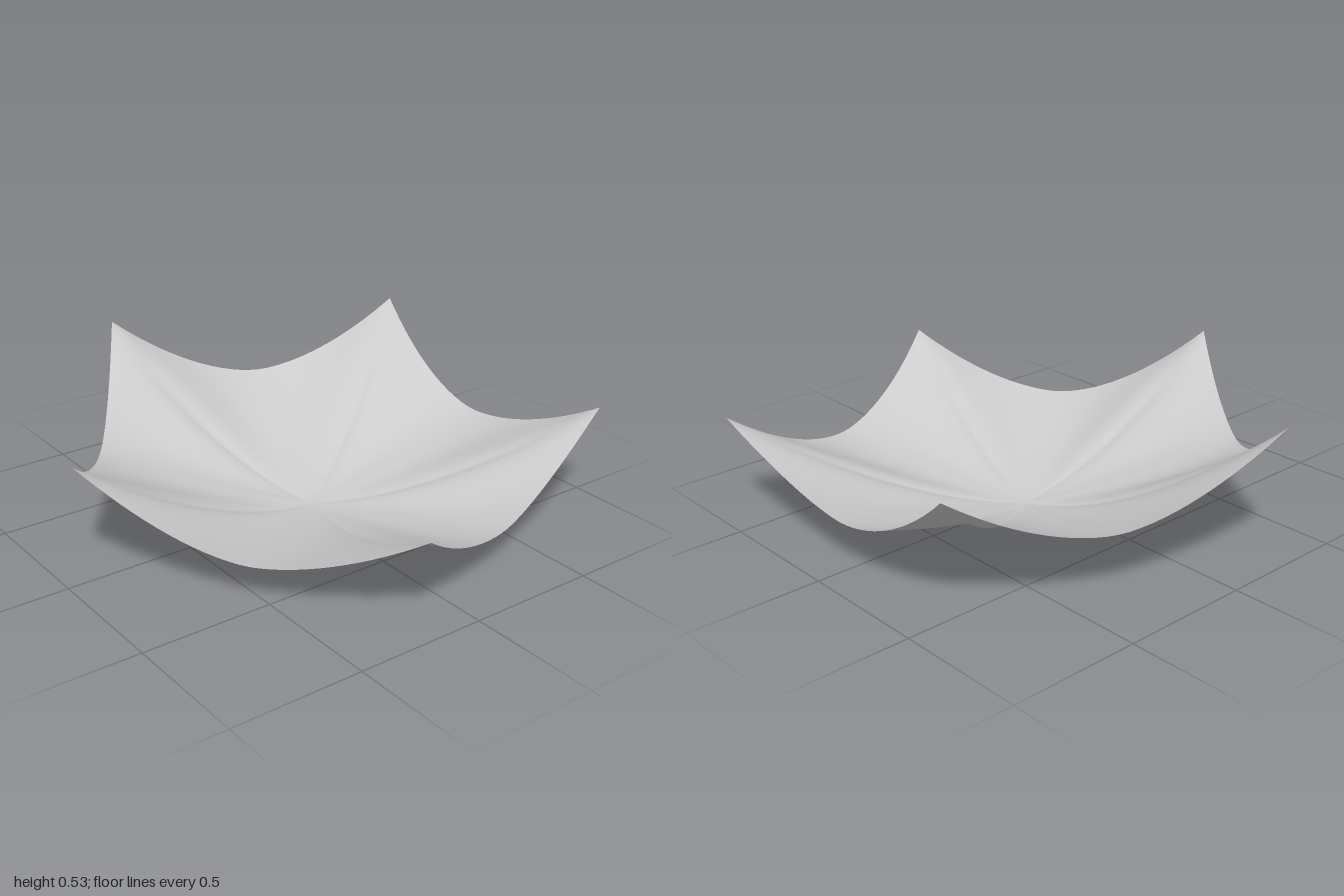
import * as THREE from 'three';

// Raised corners of the sail, and for each edge to the next corner its lowest height and inward bow
const CORNERS = [
  { p: new THREE.Vector3(-0.95, 0.45, 0), low: 0.15, bow: 0.045 },
  { p: new THREE.Vector3(-0.23, 0.37, 1), low: 0.13, bow: 0.05 },
  { p: new THREE.Vector3(0.95, 0.4, 0.62), low: 0.19, bow: 0.05 },
  { p: new THREE.Vector3(0.95, 0.5, -0.62), low: 0.25, bow: 0.025 },
  { p: new THREE.Vector3(-0.23, 0.53, -1), low: 0.225, bow: 0.008 },
];
const CENTRE = new THREE.Vector3(0.07, 0, -0.02);
const STEPS = 30; // per edge
const RINGS = 32;

// Point of the sail: edge number, t along the edge, s from the centre (0) to the rim (1)
function sailPoint(edge, t, s) {
  const { p: a, low, bow } = CORNERS[edge];
  const b = CORNERS[(edge + 1) % CORNERS.length].p;
  const inward = new THREE.Vector3(a.z - b.z, 0, b.x - a.x).normalize();
  if (inward.dot(a) > 0) inward.negate();
  const rim = a.clone().lerp(b, t).addScaledVector(inward, 4 * bow * t * (1 - t));

  // Sharp sag along the rim, softened toward the middle of the cloth
  const wave = (1 + Math.cos(2 * Math.PI * t)) / 2;
  const sag = THREE.MathUtils.lerp(wave ** 1.5, Math.abs(2 * t - 1) ** 1.75, s ** 3);
  const tip = t < 0.5 ? a.y : b.y;
  const height = low + (tip - low) * sag;

  const point = CENTRE.clone().lerp(rim, s);
  point.y = height * s ** (1.3 + 0.4 * wave);
  return point;
}

function sailGeometry() {
  const around = CORNERS.length * STEPS;
  const positions = [CENTRE.x, CENTRE.y, CENTRE.z];
  const index = [];
  for (let r = 1; r <= RINGS; r++) {
    for (let i = 0; i < around; i++) {
      const p = sailPoint(Math.floor(i / STEPS), (i % STEPS) / STEPS, r / RINGS);
      positions.push(p.x, p.y, p.z);
      const next = (i + 1) % around;
      const c = 1 + (r - 1) * around + i;
      const d = 1 + (r - 1) * around + next;
      if (r === 1) {
        index.push(0, c, d);
      } else {
        index.push(c - around, c, d, c - around, d, d - around);
      }
    }
  }
  const geometry = new THREE.BufferGeometry();
  geometry.setAttribute('position', new THREE.Float32BufferAttribute(positions, 3));
  geometry.setIndex(index);
  geometry.computeVertexNormals();
  return geometry;
}

export function createModel() {
  const model = new THREE.Group();
  model.name = 'shadeSail';
  const material = new THREE.MeshStandardMaterial({ color: 0xcccccc, side: THREE.DoubleSide });
  const cloth = new THREE.Mesh(sailGeometry(), material);
  cloth.name = 'sailCloth';
  model.add(cloth);
  return model;
}
